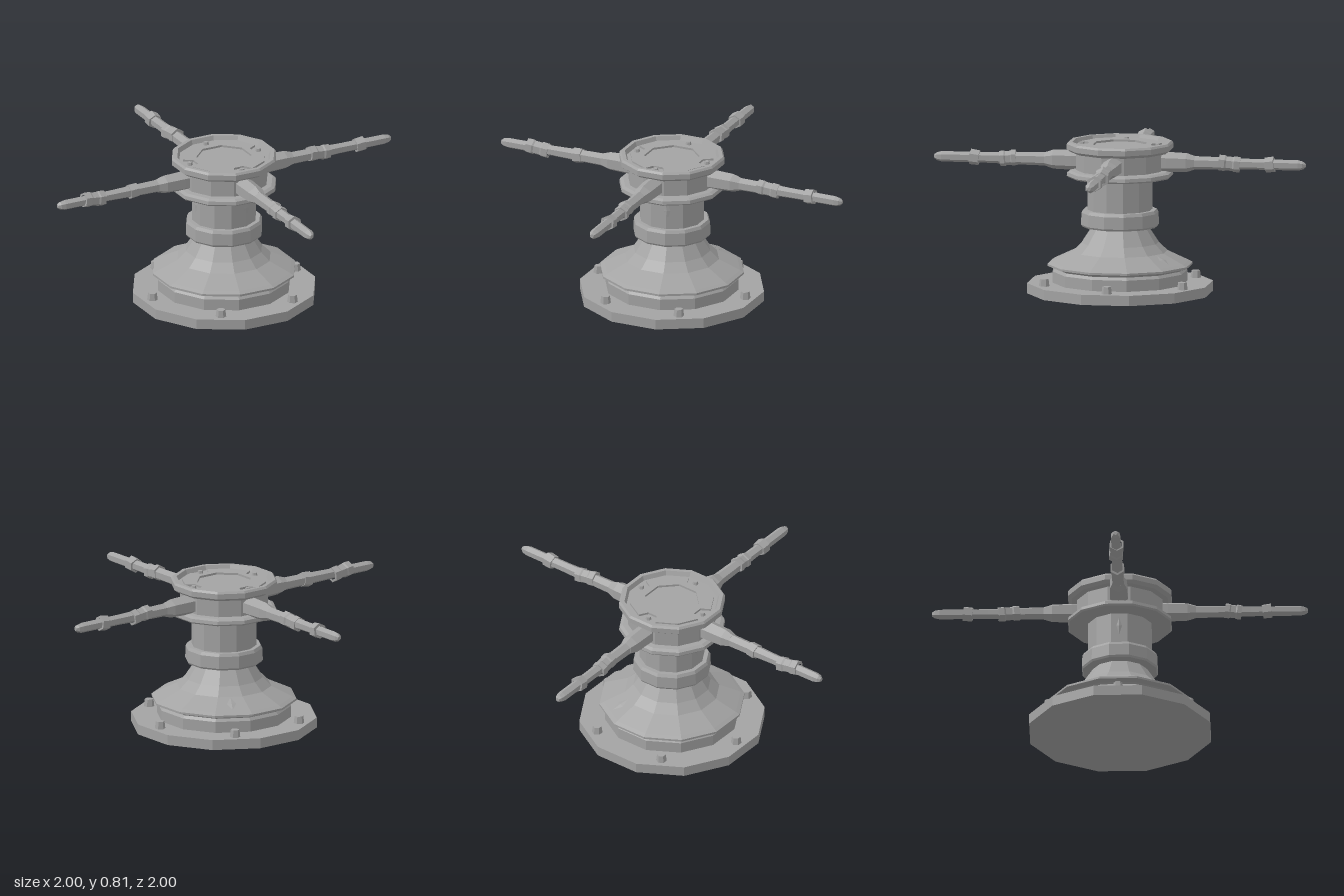
import * as THREE from 'three';

const iron = new THREE.MeshStandardMaterial({ color: 0xa3a3a3, flatShading: true });
iron.name = 'castIron';

const mesh = (name, geometry, parent) => {
  const m = new THREE.Mesh(geometry, iron);
  m.name = name;
  parent.add(m);
  return m;
};

// Faceted turned part; profile radii are measured to the middle of the flats.
function turned(name, profile, parent, sides = 12) {
  const k = 1 / Math.cos(Math.PI / sides);
  const pts = profile.map(([r, y]) => new THREE.Vector2(r * k, y));
  return mesh(name, new THREE.LatheGeometry(pts, sides, Math.PI / sides), parent);
}

// Six-sided bar along +x with its ridge upward; profile is [radius, distance].
function hexBar(name, profile, parent) {
  const pts = profile.map(([r, d]) => new THREE.Vector2(r, d));
  const g = new THREE.LatheGeometry(pts, 6, Math.PI / 2);
  g.rotateZ(-Math.PI / 2);
  return mesh(name, g, parent);
}

// Small bolt head with tapered sides, standing on y.
function bolt(name, x, y, z, r, h, parent) {
  const b = mesh(name, new THREE.CylinderGeometry(r * 0.8, r, h, 6), parent);
  b.position.set(x, y + h / 2, z);
  return b;
}

// One bar with its socket and cord wraps; wraps are [start, end].
function makeArm(angle, wraps) {
  const arm = new THREE.Group();
  arm.name = 'arm';
  hexBar('socket', [
    [0, 0.18], [0.055, 0.18], [0.055, 0.255], [0.051, 0.36], [0.036, 0.405], [0, 0.405],
  ], arm);
  hexBar('handle', [
    [0.036, 0.39], [0.034, 0.52], [0.029, 0.7], [0.028, 0.96], [0.022, 0.985], [0.011, 1], [0, 1],
  ], arm);
  wraps.forEach(([a, b], i) => {
    const wide = b - a > 0.08;
    const mid = (a + b) / 2, w = (b - a) / 2 - 0.003;
    const profile = wide
      ? [[0.028, -w], [0.042, -w], [0.043, -w * 0.45], [0.038, -w * 0.3],
        [0.038, w * 0.3], [0.043, w * 0.45], [0.041, w], [0.028, w]]
      : [[0.028, -w], [0.04, -w], [0.042, w], [0.028, w]];
    const wrap = hexBar('wrap', profile, arm);
    wrap.position.x = mid;
    wrap.rotation.z = i ? 0.12 : -0.1;
    wrap.rotation.y = wide ? 0.06 : -0.04;
  });
  arm.position.y = 0.705;
  arm.rotation.y = angle;
  return arm;
}

// Shallow diamond-shaped scar lying on a sloped or upright face.
function scar(angle, r, y, w, h, lean, parent) {
  const holder = new THREE.Group();
  holder.name = 'scar';
  holder.rotation.y = angle;
  const s = mesh('scarFace', new THREE.OctahedronGeometry(1), holder);
  s.scale.set(w / 2, h / 2, 0.004);
  s.position.set(0, y, r);
  s.rotation.x = -lean;
  parent.add(holder);
}

export function createModel() {
  const model = new THREE.Group();
  model.name = 'capstan';

  // Foot and stepped bell
  turned('basePlate', [[0, 0], [0.48, 0], [0.48, 0.055], [0, 0.055]], model);
  turned('bell', [
    [0.347, 0.05], [0.347, 0.115], [0.335, 0.13], [0.345, 0.137], [0.375, 0.146],
    [0.375, 0.157], [0.355, 0.168], [0.245, 0.222], [0.2, 0.268], [0.142, 0.36],
  ], model);
  for (let i = 0; i < 6; i++) {
    const a = i * Math.PI / 3;
    bolt('baseBolt', 0.43 * Math.cos(a), 0.05, 0.43 * Math.sin(a), 0.029, 0.044, model);
  }

  // Column
  turned('shaft', [[0.168, 0.36], [0.168, 0.64]], model);
  turned('collar', [
    [0.13, 0.355], [0.195, 0.355], [0.201, 0.365], [0.199, 0.43], [0.19, 0.446], [0.16, 0.446],
  ], model);

  // Spool-shaped head with a sunken top
  turned('head', [
    [0.15, 0.622], [0.268, 0.622], [0.275, 0.63], [0.272, 0.648], [0.255, 0.657], [0.228, 0.66],
    [0.228, 0.752], [0.255, 0.757], [0.275, 0.772], [0.275, 0.8], [0.266, 0.811],
    [0.246, 0.811], [0.236, 0.787], [0, 0.787],
  ], model);

  // Top plate: notched ring around a shallow well
  const ring = new THREE.Shape();
  const notch = 0.035;
  for (let q = 0; q < 4; q++) {
    const a = q * Math.PI / 2;
    const put = (x, y, first) => {
      const px = x * Math.cos(a) - y * Math.sin(a), py = x * Math.sin(a) + y * Math.cos(a);
      first ? ring.moveTo(px, py) : ring.lineTo(px, py);
    };
    put(0.17, -notch * 0.8, q === 0);
    put(0.17, notch * 0.8);
    put(0.217, notch * 1.6);
    put(0.159, 0.159);
    put(notch * 1.6, 0.217);
  }
  const well = new THREE.Path();
  for (let i = 0; i < 8; i++) {
    const a = -(i + 0.5) * Math.PI / 4;
    const x = 0.148 * Math.cos(a), y = 0.148 * Math.sin(a);
    i ? well.lineTo(x, y) : well.moveTo(x, y);
  }
  well.closePath();
  ring.holes.push(well);
  const plate = new THREE.ExtrudeGeometry(ring, { depth: 0.012, bevelEnabled: false });
  plate.rotateX(-Math.PI / 2);
  mesh('topPlate', plate, model).position.y = 0.786;
  for (let i = 0; i < 4; i++) {
    const a = i * Math.PI / 2;
    bolt('topBolt', 0.205 * Math.cos(a), 0.785, 0.205 * Math.sin(a), 0.016, 0.018, model);
  }

  // Four bars, each wrapped a little differently
  model.add(
    makeArm(0, [[0.505, 0.63], [0.785, 0.84]]),
    makeArm(Math.PI / 2, [[0.53, 0.65], [0.78, 0.835]]),
    makeArm(Math.PI, [[0.52, 0.575], [0.72, 0.85]]),
    makeArm(-Math.PI / 2, [[0.555, 0.65], [0.755, 0.81]]),
  );

  // Wear marks
  scar(Math.PI / 12 * 1.1, 0.171, 0.55, 0.035, 0.12, 0, model);
  scar(Math.PI * 5 / 6, 0.295, 0.198, 0.05, 0.1, 1.1, model);
  scar(-Math.PI / 2, 0.169, 0.55, 0.03, 0.1, 0, model);
  return model;
}
